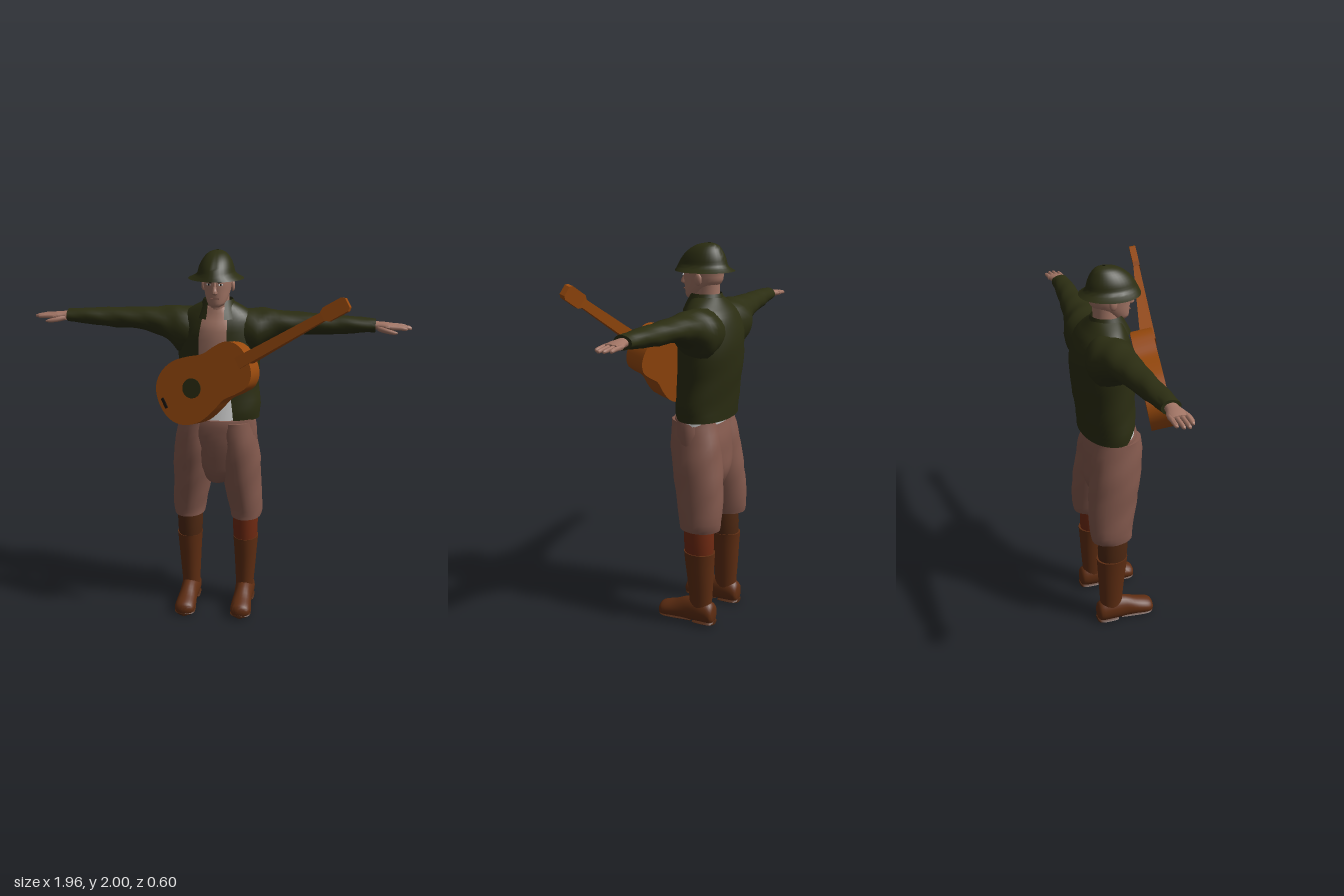
import * as THREE from 'three';
import { toCreasedNormals } from 'three/addons/utils/BufferGeometryUtils.js';

const mat = (name, color, side = THREE.FrontSide) => {
  const m = new THREE.MeshStandardMaterial({ color, side });
  m.name = name;
  return m;
};

// Catmull-Rom blend of one row value
const blend = (a, b, c, d, t) =>
  0.5 * (2 * b + (c - a) * t + (2 * a - 5 * b + 4 * c - d) * t * t + (3 * b - a - 3 * c + d) * t ** 3);

// Skin over elliptical sections. Row: [position on axis, centre1, centre2, radius1, radius2, leftGap, rightGap]
function loft(rows, { axis = 'y', n = 24, sub = 3, fold = 0, open = false, floor = -9, crease = 1 } = {}) {
  const fine = [];
  for (let i = 0; i < rows.length - 1; i++) {
    const q = [rows[Math.max(0, i - 1)], rows[i], rows[i + 1], rows[Math.min(rows.length - 1, i + 2)]];
    for (let k = 0; k < sub; k++) fine.push(rows[i].map((_, c) => blend(q[0][c], q[1][c], q[2][c], q[3][c], k / sub)));
  }
  fine.push(rows[rows.length - 1]);
  const pos = [], idx = [], cols = open ? n + 1 : n;
  const put = (p, u, v) => {
    const [x, y, z] = axis === 'y' ? [u, p, v] : axis === 'x' ? [p, u, v] : [u, v, p];
    pos.push(x, Math.max(floor, y), z);
  };
  for (const [p, c1, c2, r1, r2, gl = 0, gr = 0] of fine) {
    const from = open ? Math.PI / 2 + gr : 0, span = Math.PI * 2 - (open ? gl + gr : 0);
    for (let j = 0; j < cols; j++) {
      const a = from + span * j / n;
      const w = 1 + fold * (Math.sin(3 * a + p * 37) + 0.6 * Math.sin(5 * a - p * 61));
      if (axis === 'y') put(p, c1 + r1 * w * Math.cos(a), c2 + r2 * w * Math.sin(a));
      else put(p, c1 + r1 * w * Math.sin(a), c2 + r2 * w * Math.cos(a));
    }
  }
  for (let i = 0; i < fine.length - 1; i++) for (let j = 0; j < n; j++) {
    const a = i * cols + j, b = i * cols + (j + 1) % cols;
    idx.push(a, a + cols, b, b, a + cols, b + cols);
  }
  if (!open) for (const end of [0, fine.length - 1]) {
    const c = pos.length / 3, [p, c1, c2] = fine[end];
    put(p, c1, c2);
    for (let j = 0; j < n; j++) {
      const a = end * cols + j, b = end * cols + (j + 1) % cols;
      if (end) idx.push(c, b, a); else idx.push(c, a, b);
    }
  }
  const g = new THREE.BufferGeometry();
  g.setAttribute('position', new THREE.Float32BufferAttribute(pos, 3));
  g.setIndex(idx);
  return toCreasedNormals(g, crease);
}

export function createModel() {
  const root = new THREE.Group();
  const cloth = mat('dark olive', 0x2b2d12, THREE.DoubleSide), trousers = mat('dusty rose brown', 0x83594d);
  const leather = mat('boot brown', 0x5e2d12), skin = mat('skin', 0xa27565), white = mat('shirt white', 0xdcdcdc);
  const wood = mat('guitar wood', 0x994a0d), sockRed = mat('red brown', 0x702a12), sockDark = mat('dark brown', 0x4e2812);
  const black = mat('near black', 0x17120c);
  const add = (name, geo, m, parent = root) => {
    const mesh = new THREE.Mesh(geo, m);
    mesh.name = name;
    parent.add(mesh);
    return mesh;
  };
  const at = (mesh, x, y, z) => { mesh.position.set(x, y, z); return mesh; };

  // Torso under the jacket
  add('shirt', loft([[1.1, 0, -.11, .2, .115], [1.2, 0, -.125, .205, .125], [1.35, 0, -.14, .195, .135], [1.48, 0, -.145, .18, .135]]), white);
  add('chest', loft([[1.46, 0, -.145, .185, .136], [1.6, 0, -.14, .17, .122], [1.67, 0, -.13, .12, .085], [1.72, 0, -.12, .06, .06]]), skin);

  // Open jacket and its collar
  add('jacket', loft([
    [1.13, 0, -.13, .222, .14, .45, 1.3], [1.2, 0, -.13, .224, .145, .42, .9], [1.32, 0, -.14, .212, .15, .38, .5],
    [1.45, 0, -.148, .215, .156, .32, .42], [1.57, 0, -.15, .215, .148, .28, .4], [1.65, 0, -.145, .2, .125, .3, .38],
    [1.7, 0, -.135, .15, .095, .35, .4], [1.74, 0, -.125, .08, .075, .5, .5]], { open: true, n: 40, fold: .009 }), cloth);
  add('collar', loft([[1.665, 0, -.11, .115, .11, .42, .42], [1.7, 0, -.115, .1, .1, .45, .45], [1.755, 0, -.12, .076, .078, .6, .6]],
    { open: true }), cloth);

  // Sleeves and hands
  const sleeve = [[.08, 1.58, -.16, .12, .11], [.19, 1.578, -.16, .126, .122], [.25, 1.605, -.156, .097, .105],
    [.32, 1.622, -.152, .074, .088], [.42, 1.635, -.146, .057, .076], [.55, 1.636, -.135, .052, .062],
    [.66, 1.64, -.125, .045, .056], [.76, 1.643, -.117, .036, .05], [.8, 1.643, -.115, .034, .047]];
  const palm = [[.77, 1.643, -.115, .024, .03], [.82, 1.643, -.115, .02, .034], [.86, 1.641, -.116, .019, .046],
    [.895, 1.639, -.117, .014, .046]];
  const fingerEnds = [.957, .975, .98, .958];
  for (const s of [1, -1]) {
    const side = s > 0 ? 'left' : 'right';
    const mirror = rows => s > 0 ? rows : rows.map(([x, ...r]) => [-x, ...r]).reverse();
    add(side + 'Sleeve', loft(mirror(sleeve), { axis: 'x', fold: .025 }), cloth);
    const hand = new THREE.Group();
    hand.name = side + 'Hand';
    root.add(hand);
    add('palm', loft(mirror(palm), { axis: 'x', n: 14 }), skin, hand);
    fingerEnds.forEach((end, i) => {
      const z = -.152 + i * .024;
      add('finger', loft(mirror([[.87, 1.64, z, .012, .012], [.92, 1.639, z, .0105, .0105], [end - .01, 1.636, z, .009, .009],
        [end, 1.636, z, .003, .003]]), { axis: 'x', n: 8 }), skin, hand);
    });
    add('thumb', loft(mirror([[.81, 1.634, -.092, .014, .014], [.85, 1.626, -.07, .013, .014], [.89, 1.62, -.06, .01, .011],
      [.91, 1.618, -.058, .004, .004]]), { axis: 'x', n: 8 }), skin, hand);
  }

  // Head and face
  const head = new THREE.Group();
  head.name = 'head';
  root.add(head);
  add('neck', loft([[1.64, 0, -.13, .075, .07], [1.7, 0, -.122, .058, .066], [1.8, 0, -.125, .056, .064]]), skin, head);
  add('skull', loft([[1.725, 0, -.045, .022, .026], [1.738, 0, -.057, .042, .049], [1.77, 0, -.078, .057, .074],
    [1.81, 0, -.1, .068, .1], [1.85, 0, -.103, .074, .106], [1.89, 0, -.108, .075, .106], [1.93, 0, -.11, .06, .085]]), skin, head);
  add('nose', loft([[1.792, 0, -.004, .009, .012], [1.802, 0, .004, .015, .02], [1.825, 0, .002, .009, .014], [1.855, 0, -.006, .007, .01]],
    { n: 10 }), skin, head);
  at(add('mouth', new THREE.BoxGeometry(.042, .006, .009), trousers, head), 0, 1.772, -.006);
  for (const s of [1, -1]) {
    const eye = at(add('eye', new THREE.BoxGeometry(.022, .008, .008), white, head), s * .03, 1.843, -.007);
    eye.rotation.y = s * .35;
    const iris = at(add('iris', new THREE.BoxGeometry(.008, .008, .009), black, head), s * .029, 1.843, -.0055);
    iris.rotation.y = s * .35;
    const brow = at(add('eyebrow', new THREE.BoxGeometry(.034, .008, .009), black, head), s * .031, 1.858, -.005);
    brow.rotation.set(0, s * .35, s * .25);
    const ear = at(add('ear', new THREE.SphereGeometry(1, 12, 8), skin, head), s * .076, 1.825, -.11);
    ear.scale.set(.011, .03, .02);
  }

  // Soft brimmed hat
  add('hat', loft([[1.862, -.01, -.105, .142, .152], [1.872, -.008, -.1, .122, .143], [1.89, -.007, -.095, .097, .13],
    [1.925, -.007, -.1, .087, .115], [1.96, -.006, -.108, .07, .09], [1.988, -.006, -.12, .043, .055], [2, -.006, -.13, .006, .008]],
    { open: true, n: 32, crease: 1.4 }), cloth);

  // Knee breeches
  add('breechesSeat', loft([[.76, 0, -.14, .06, .08], [.83, 0, -.135, .13, .115], [.92, 0, -.125, .205, .125], [1.02, 0, -.112, .212, .13],
    [1.1, 0, -.1, .206, .122], [1.135, 0, -.1, .202, .118]], { n: 32, fold: .008 }), trousers);
  for (const s of [1, -1]) {
    const side = s > 0 ? 'left' : 'right', o = s > 0 ? -.008 : .008;
    const lift = s > 0 ? .012 : 0;
    const leg = new THREE.Group();
    leg.name = side + 'Leg';
    root.add(leg);
    const X = c => s * (c + o);
    add('breechesLeg', loft([[.55, X(.158), -.162, .084, .108], [.6, X(.157), -.165, .092, .115], [.75, X(.138), -.15, .103, .13],
      [.9, X(.121), -.128, .116, .134], [1.02, X(.112), -.112, .106, .132], [1.12, X(.1), -.1, .1, .116]], { fold: .014 }), trousers, leg);
    add('stocking', loft([[.39, X(.156), -.16, .063, .076], [.48, X(.156), -.158, .069, .081], [.62, X(.156), -.153, .07, .08]]),
      s > 0 ? sockRed : sockDark, leg);

    // Tall boot
    add('bootShaft', loft([[.05, X(.155), -.17, .048, .062], [.12, X(.155), -.17, .05, .062], [.25, X(.157), -.168, .058, .071],
      [.36, X(.158), -.164, .065, .08], [.42, X(.158), -.163, .07, .085]]), leather, leg);
    const y = h => h + lift;
    add('bootFoot', loft([[-.25, X(.157), y(.055), .03, .035], [-.235, X(.157), y(.06), .048, .058], [-.17, X(.156), y(.068), .054, .072],
      [-.09, X(.156), y(.06), .05, .068], [-.02, X(.156), y(.045), .055, .052], [.035, X(.157), y(.036), .056, .044],
      [.062, X(.157), y(.033), .044, .034], [.073, X(.157), y(.03), .018, .015]], { axis: 'z', floor: y(.012), crease: .8 }), leather, leg);

    // Dark sole with a separate heel
    const sole = (name, rows) => add(name, loft(rows.map(([z, r]) => [z, X(.157), y(.01), r, .01]), { axis: 'z', n: 12 }), sockDark, leg);
    sole('sole', [[-.12, .038], [-.04, .051], [.03, .057], [.06, .042], [.074, .015]]);
    sole('heel', [[-.253, .025], [-.235, .046], [-.17, .052], [-.14, .048]]);
  }

  // Guitar: local x runs along the neck, local z out of the sound board
  const guitar = new THREE.Group();
  guitar.name = 'guitar';
  root.add(guitar);
  const out = new THREE.Vector3(-.27, .21, 1).normalize();
  const along = new THREE.Vector3(.848, .53, .118).normalize();
  guitar.quaternion.setFromRotationMatrix(new THREE.Matrix4().makeBasis(along, out.clone().cross(along), out));
  guitar.position.set(-.09, 1.35, .16);
  const half = [[-.18, .09], [-.125, .145], [-.04, .168], [.05, .152], [.13, .126], [.2, .13], [.27, .124], [.318, .08]];
  const outline = [[-.2, 0], ...half.map(([u, v]) => [u, -v]), [.335, 0], ...half.slice().reverse()]
    .map(([u, v]) => new THREE.Vector3(u, v, 0));
  const rim = new THREE.CatmullRomCurve3(outline, true).getPoints(64).slice(0, -1);
  const body = new THREE.ExtrudeGeometry(new THREE.Shape(rim.map(p => new THREE.Vector2(p.x, p.y))), { depth: .115, bevelEnabled: false });
  add('guitarBody', toCreasedNormals(body.translate(0, 0, -.115), .6), wood, guitar);
  at(add('soundHole', new THREE.CylinderGeometry(.05, .05, .004, 32).rotateX(Math.PI / 2), cloth, guitar), 0, 0, .002);
  at(add('bridge', new THREE.BoxGeometry(.014, .055, .008), black, guitar), -.17, 0, .004);

  // Neck tapering in width and thickness, then the peg head
  const neck = new THREE.BoxGeometry(.5, 1, 1);
  const p = neck.attributes.position;
  for (let i = 0; i < p.count; i++) {
    const tip = p.getX(i) > 0;
    p.setXYZ(i, p.getX(i) + .53, p.getY(i) * (tip ? .042 : .058), p.getZ(i) > 0 ? (tip ? .016 : .01) : (tip ? -.014 : -.07));
  }
  neck.computeVertexNormals();
  add('guitarNeck', neck, wood, guitar);
  const peg = new THREE.Shape([[.765, -.022], [.785, -.036], [.885, -.036], [.9, -.024], [.9, .024], [.885, .036], [.785, .036], [.765, .022]]
    .map(([u, v]) => new THREE.Vector2(u, v)));
  add('pegHead', new THREE.ExtrudeGeometry(peg, { depth: .034, bevelEnabled: false }).translate(0, 0, -.014), wood, guitar);

  return root;
}
